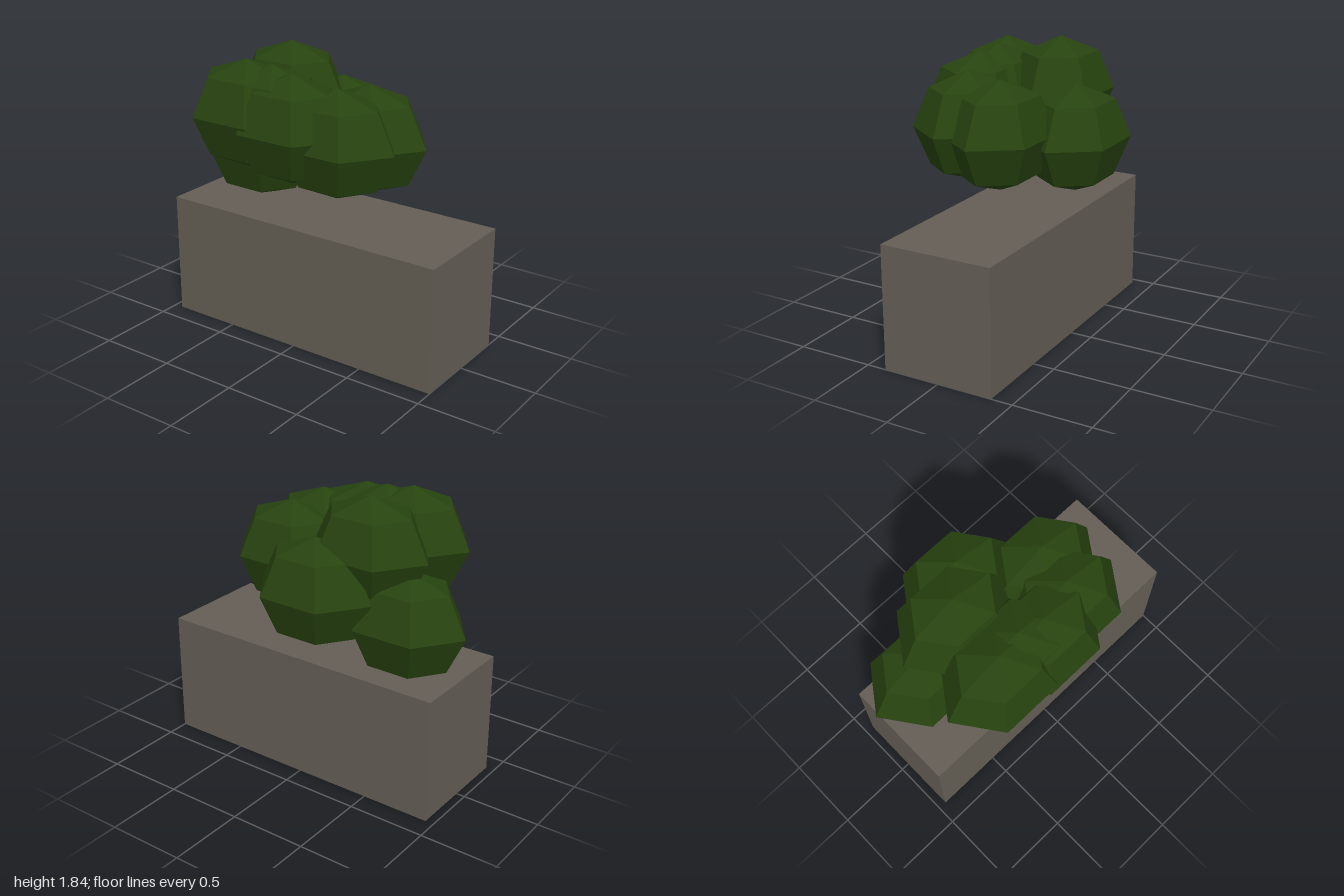
import * as THREE from 'three';

export function createModel() {
  const model = new THREE.Group();
  const stone = new THREE.MeshStandardMaterial({ color: 0x645e55 });
  stone.name = 'stone';
  const leaf = new THREE.MeshStandardMaterial({ color: 0x27430f, flatShading: true });
  leaf.name = 'leaf green';

  // Stone planter block
  const planter = new THREE.Mesh(new THREE.BoxGeometry(1.945, 0.8, 0.735), stone);
  planter.name = 'planter';
  planter.position.set(0.0275, 0.4, 0.005);
  model.add(planter);

  // Bush: one flattened six-sided clump, repeated at [x, y, z]
  const clumpGeometry = new THREE.SphereGeometry(0.4, 6, 4);
  clumpGeometry.scale(1, 0.85, 0.8);
  const bush = new THREE.Group();
  bush.name = 'bush';
  const centres = [
    [-0.6, 1.1, -0.09],
    [-0.335, 1.5, -0.09],
    [-0.37, 1.46, 0.315],
    [-0.2, 1.445, 0.285],
    [-0.03, 1.42, 0.32],
    [0.24, 1.355, 0.235],
    [0.298, 1.333, -0.02],
    [-0.105, 1.265, -0.32],
  ];
  centres.forEach((centre, i) => {
    const clump = new THREE.Mesh(clumpGeometry, leaf);
    clump.name = `leafClump${i + 1}`;
    clump.position.set(...centre);
    bush.add(clump);
  });
  model.add(bush);

  return model;
}
